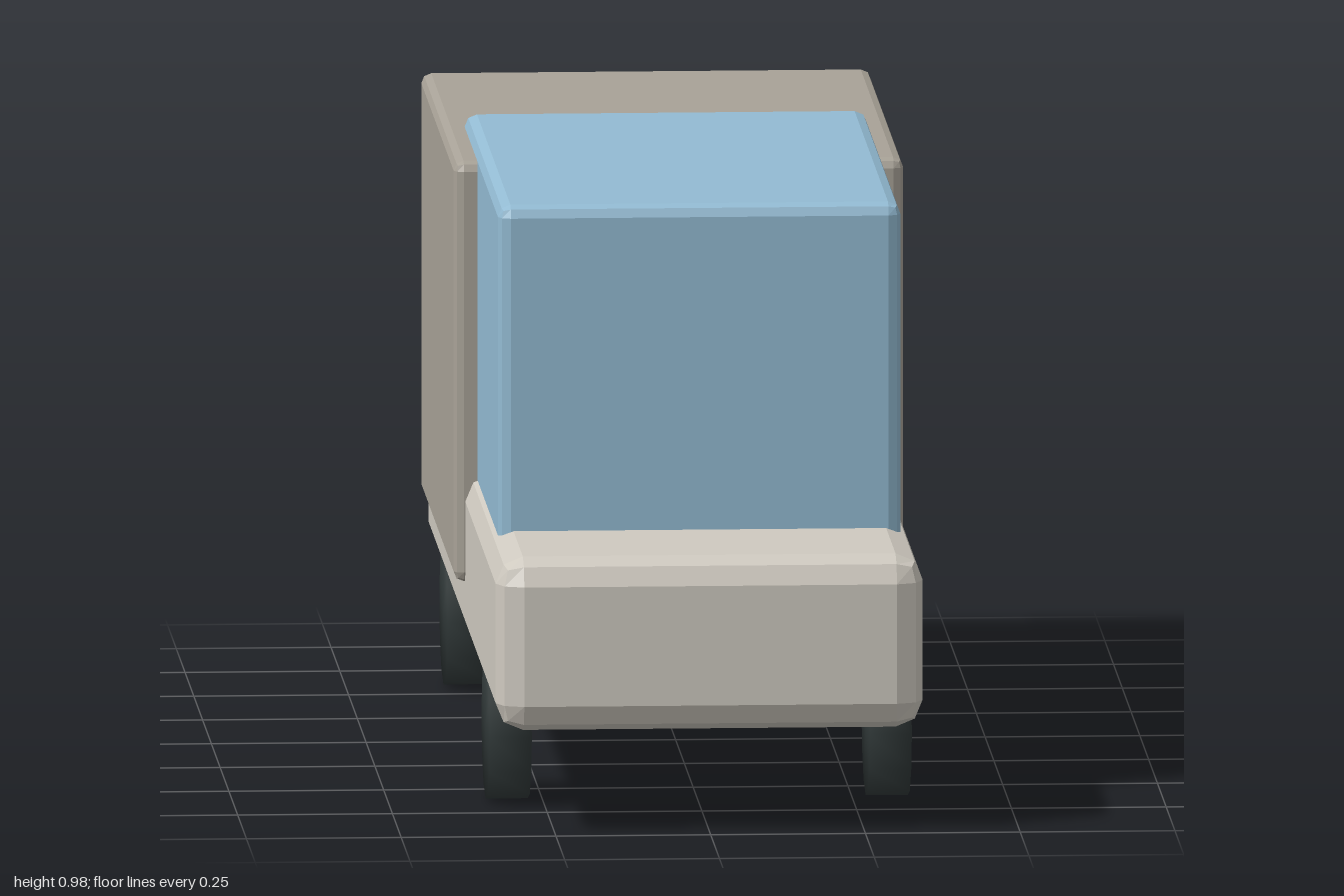
import * as THREE from 'three';
import { RoundedBoxGeometry } from 'three/addons/geometries/RoundedBoxGeometry.js';
import { mergeVertices } from 'three/addons/utils/BufferGeometryUtils.js';

function material(name, color) {
  const m = new THREE.MeshStandardMaterial({ color });
  m.name = name;
  return m;
}

// Box between two corners, with a two-facet bevel on every edge
function bevelBox(name, mat, min, max, bevel) {
  const size = max.map((v, i) => v - min[i]);
  const geo = new RoundedBoxGeometry(...size, 1, bevel);
  geo.computeVertexNormals(); // unshared corners give flat facets
  const mesh = new THREE.Mesh(geo, mat);
  mesh.position.set(...max.map((v, i) => (v + min[i]) / 2));
  mesh.name = name;
  return mesh;
}

// Twelve-sided wheel whose rim and sides share smooth normals
function wheelGeometry(radius, width) {
  const geo = new THREE.CylinderGeometry(radius, radius, width, 12);
  geo.rotateZ(Math.PI / 2);
  geo.deleteAttribute('uv');
  geo.deleteAttribute('normal');
  const merged = mergeVertices(geo, 1e-4);
  merged.computeVertexNormals();
  return merged;
}

export function createModel() {
  const model = new THREE.Group();
  model.name = 'truck';

  const cream = material('cream', 0xcfcac0);
  const taupe = material('taupe', 0xa8a297);
  const blue = material('blue', 0x93bbd3);
  const rubber = material('rubber', 0x303838);

  // Body: low chassis, tall cab and cargo box
  model.add(
    bevelBox('chassis', cream, [-0.345, 0.167, -1], [0.345, 0.45, 1], 0.044),
    bevelBox('cab', blue, [-0.325, 0.3, -0.3], [0.325, 0.98, 0.69], 0.02),
    bevelBox('cargoBox', taupe, [-0.363, 0.274, -0.86], [0.363, 0.96, 0.093], 0.016),
  );

  // Four wheels
  const wheelGeo = wheelGeometry(0.118, 0.068);
  for (const [end, z] of [['front', 0.6], ['rear', -0.6]]) {
    for (const [side, x] of [['Left', 0.307], ['Right', -0.307]]) {
      const wheel = new THREE.Mesh(wheelGeo, rubber);
      wheel.position.set(x, 0.118, z);
      wheel.name = `${end}${side}Wheel`;
      model.add(wheel);
    }
  }
  return model;
}
